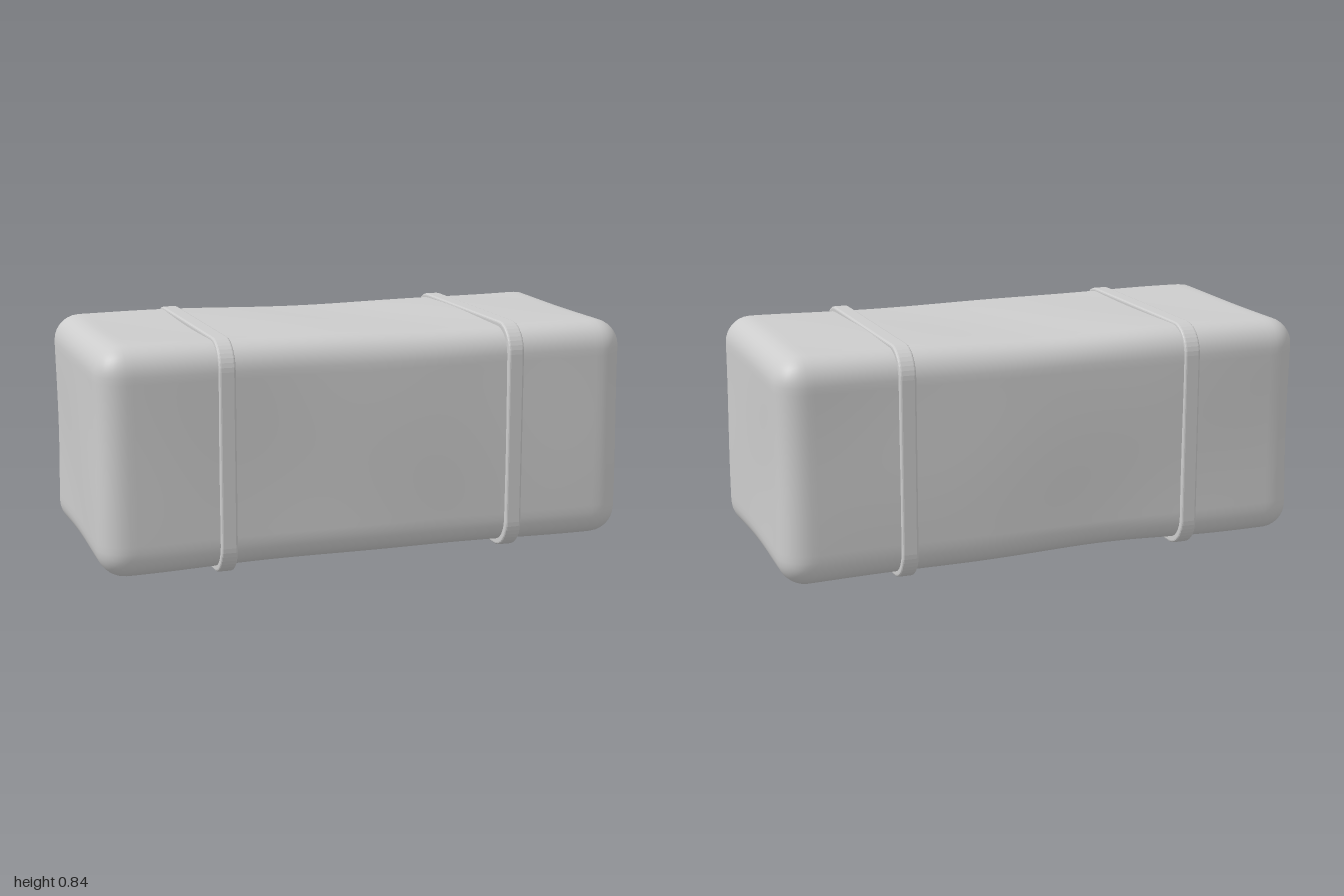
import * as THREE from 'three';
import { mergeVertices } from 'three/addons/utils/BufferGeometryUtils.js';

const HX = 0.995, HY = 0.412, HZ = 0.456, MID = 0.424;

// Soft rectangular block: rounded edges, gently dented faces
function bundleGeometry() {
  const r = 0.105;
  const g = new THREE.BoxGeometry(HX * 2, HY * 2, HZ * 2, 76, 32, 36);
  g.deleteAttribute('uv');
  g.deleteAttribute('normal');
  const p = g.attributes.position;
  const v = new THREE.Vector3(), inner = new THREE.Vector3(), n = new THREE.Vector3();
  const lim = new THREE.Vector3(HX - r, HY - r, HZ - r);
  const low = lim.clone().negate();
  for (let i = 0; i < p.count; i++) {
    v.fromBufferAttribute(p, i);
    inner.copy(v).clamp(low, lim);
    n.copy(v).sub(inner).normalize();
    v.copy(inner).addScaledVector(n, r);

    // uneven padding: small inward dents along the rounded normal
    const { x, y, z } = v;
    const ripple = Math.sin(x * 5.1 + y * 3 + 0.7) * Math.cos(z * 6 - x * 2.2 + y * 4);
    let dent = 0.005 + 0.005 * ripple;
    if (n.y > 0) dent += 0.007 * n.y * Math.exp(-((x - 0.15) ** 2) * 8);
    if (n.y < 0) dent += -0.010 * n.y * Math.exp(-((x + 0.2) ** 2) * 6);
    if (n.z > 0) dent += 0.004 * n.z * Math.exp(-(x * x) * 6);
    if (Math.abs(n.x) > 0) dent += 0.008 * Math.abs(n.x) * Math.exp(-(y * y + z * z) * 8);
    v.addScaledVector(n, -dent);
    p.setXYZ(i, v.x, v.y, v.z);
  }
  const merged = mergeVertices(g, 1e-4);
  merged.computeVertexNormals();
  return merged;
}

// Rounded rectangle outline centred on the origin
function roundedRect(path, w, h, r) {
  path.moveTo(w - r, -h);
  path.absarc(w - r, -h + r, r, -Math.PI / 2, 0);
  path.absarc(w - r, h - r, r, 0, Math.PI / 2);
  path.absarc(-w + r, h - r, r, Math.PI / 2, Math.PI);
  path.absarc(-w + r, -h + r, r, Math.PI, Math.PI * 1.5);
  path.closePath();
  return path;
}

// Closed band with softened edges
function strapGeometry() {
  const bevel = 0.008, width = 0.06;
  const shape = roundedRect(new THREE.Shape(), 0.465 - bevel, 0.421 - bevel, 0.1);
  shape.holes.push(roundedRect(new THREE.Path(), 0.432, 0.388, 0.085));
  const g = new THREE.ExtrudeGeometry(shape, {
    depth: width - bevel * 2, bevelThickness: bevel, bevelSize: bevel,
    bevelSegments: 3, curveSegments: 5,
  });
  g.translate(0, 0, -width / 2 + bevel);
  g.rotateY(Math.PI / 2);
  return g;
}

export function createModel() {
  const grey = new THREE.MeshStandardMaterial({ color: 0xcccccc });
  grey.name = 'plain grey';
  const model = new THREE.Group();
  model.name = 'strappedBundle';

  const body = new THREE.Mesh(bundleGeometry(), grey);
  body.name = 'bundle';
  body.position.y = MID;
  model.add(body);

  // Two straps, mirrored about the middle
  const strap = strapGeometry();
  for (const [name, x] of [['leftStrap', 0.54], ['rightStrap', -0.54]]) {
    const mesh = new THREE.Mesh(strap, grey);
    mesh.name = name;
    mesh.position.set(x, 0.421, 0);
    model.add(mesh);
  }
  return model;
}
